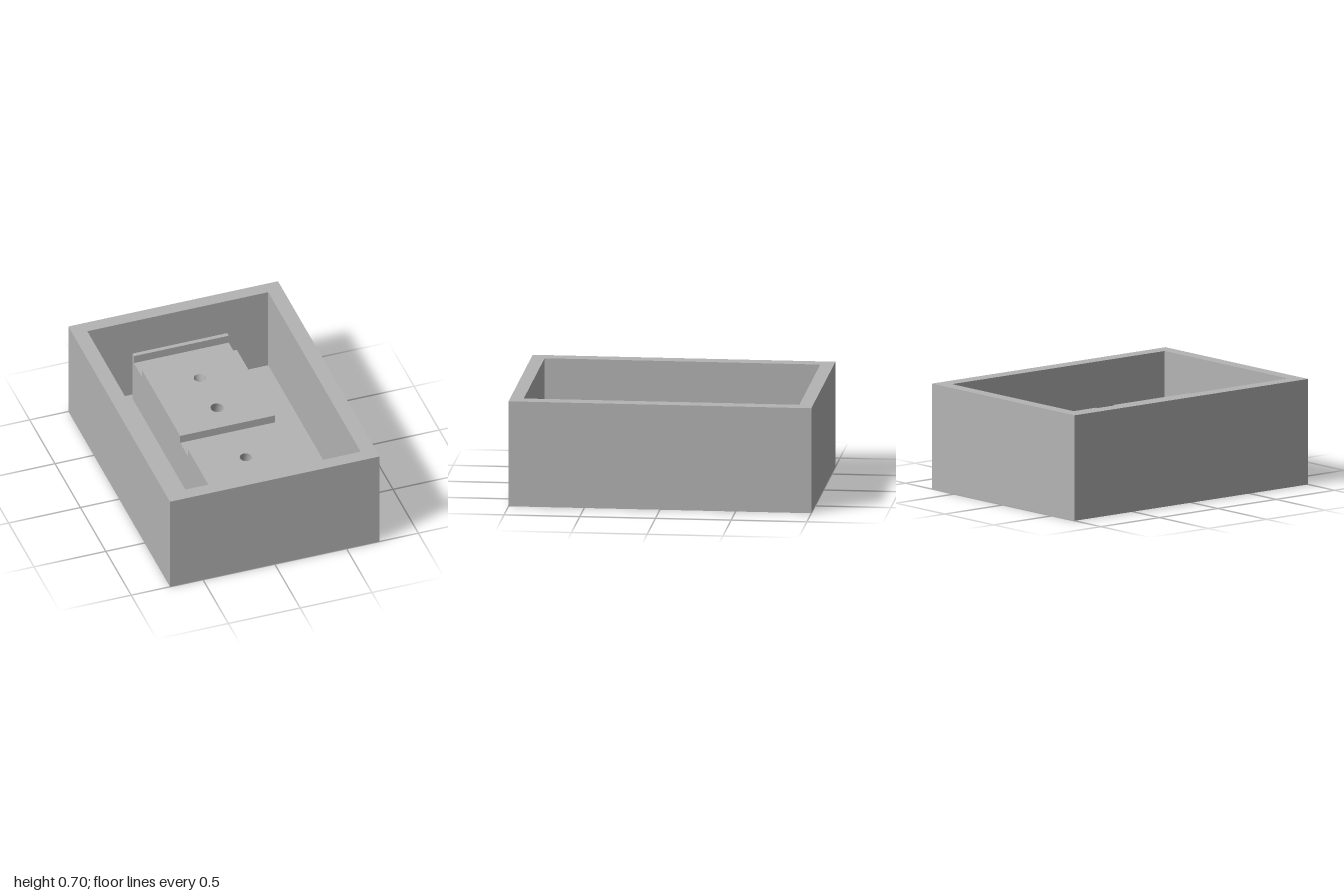
import * as THREE from 'three';
import { mergeVertices } from 'three/addons/utils/BufferGeometryUtils.js';

const grey = new THREE.MeshStandardMaterial({ color: 0xb4b4b4, side: THREE.DoubleSide });
grey.name = 'plain grey';

// Outlines in plan, as [x, z] pairs
const rect = (hx, z0, z1) => [[-hx, z1], [hx, z1], [hx, z0], [-hx, z0]];
const ellipse = (z, rx, rz, n = 32) => Array.from({ length: n }, (_, i) => {
  const t = (i / n) * Math.PI * 2;
  return [rx * Math.cos(t), z - rz * Math.sin(t)];
});

// Horizontal face at height y, facing up or down, with holes
function sheet(outline, y, holes = [], up = true) {
  const s = up ? -1 : 1;
  const pts = (o) => o.map(([x, z]) => new THREE.Vector2(x, s * z));
  const shape = new THREE.Shape(pts(outline));
  holes.forEach((h) => shape.holes.push(new THREE.Path(pts(h))));
  return new THREE.ShapeGeometry(shape).rotateX(s * Math.PI / 2).translate(0, y, 0);
}

// Wall joining outlines stacked at rising heights; inward turns it to face the middle
function wall(levels, inward = false, smooth = false) {
  const pos = [];
  for (let k = 0; k + 1 < levels.length; k++) {
    const [y0, lo] = levels[k], [y1, hi] = levels[k + 1];
    for (let i = 0; i < lo.length; i++) {
      const j = (i + 1) % lo.length;
      const a = [lo[i][0], y0, lo[i][1]], b = [lo[j][0], y0, lo[j][1]];
      const c = [hi[j][0], y1, hi[j][1]], d = [hi[i][0], y1, hi[i][1]];
      const quad = inward ? [a, c, b, a, d, c] : [a, b, c, a, c, d];
      quad.forEach((p) => pos.push(...p));
    }
  }
  let g = new THREE.BufferGeometry();
  g.setAttribute('position', new THREE.Float32BufferAttribute(pos, 3));
  if (smooth) g = mergeVertices(g);
  g.computeVertexNormals();
  return g;
}

export function createModel() {
  const model = new THREE.Group();
  model.name = 'openBox';
  const add = (name, geometry) => {
    const m = new THREE.Mesh(geometry, grey);
    m.name = name;
    model.add(m);
  };

  const H = 0.705, FLOOR = 0.1, STEP = 0.415, TOP = 0.472, CEIL = 0.13, DEEP = 0.2;
  const outer = rect(0.73, -1, 1), inner = rect(0.63, -0.91, 0.91);
  const block = rect(0.33, -0.87, 0.865);

  // Each bay: pocket underneath, recess in its ceiling, raised plate, two slanted holes
  const bays = [
    { pocket: [-0.605, -0.045], recess: [-0.3, -0.19], plate: [-0.68, 0.07],
      holes: [{ top: -0.475, low: -0.365, y: CEIL, rx: 0.04, rz: 0.042 },
        { top: -0.135, low: -0.245, y: DEEP, rx: 0.043, rz: 0.047 }] },
    { pocket: [0.01, 0.56], recess: [0.41, 0.52], plate: [0.22, 0.865],
      holes: [{ top: 0.43, low: 0.315, y: CEIL, rx: 0.04, rz: 0.042 },
        { top: 0.75, low: 0.465, y: DEEP, rx: 0.043, rz: 0.065 }] },
  ];

  // Box shell
  add('outerWalls', wall([[0, outer], [H, outer]]));
  add('innerWalls', wall([[FLOOR, inner], [H, inner]], true));
  add('rim', sheet(outer, H, [inner]));
  add('floor', sheet(inner, FLOOR, [block]));
  add('underside', sheet(outer, 0, bays.map((b) => rect(0.19, ...b.pocket)), false));

  // Central block with grooves and a rear ridge
  add('blockSides', wall([[FLOOR, block], [STEP, block]]));
  [[-0.84, -0.68], [0.07, 0.22]].forEach((g) => add('groove', sheet(rect(0.33, ...g), STEP)));
  const ridge = rect(0.33, -0.87, -0.84);
  add('ridgeSides', wall([[STEP, ridge], [TOP, ridge]]));
  add('ridgeTop', sheet(ridge, TOP));

  for (const { pocket, recess, plate, holes } of bays) {
    const plan = rect(0.33, ...plate);
    add('plateSides', wall([[STEP, plan], [TOP, plan]]));
    add('plateTop', sheet(plan, TOP, holes.map((h) => ellipse(h.top, h.rx, h.rz))));

    // Slanted holes
    for (const h of holes) {
      add('slantedHole', wall([[h.y, ellipse(h.low, h.rx, h.rz)],
        [TOP, ellipse(h.top, h.rx, h.rz)]], true, true));
    }

    // Pocket with sloping sides, and the recess above it
    const [ceilHole, deepHole] = holes.map((h) => ellipse(h.low, h.rx, h.rz));
    const mouth = rect(0.19, ...pocket), ceiling = rect(0.08, ...pocket);
    const well = rect(0.055, ...recess);
    add('pocketSides', wall([[0, mouth], [0.03, mouth], [CEIL, ceiling]], true));
    add('pocketCeiling', sheet(ceiling, CEIL, [well, ceilHole], false));
    add('recessSides', wall([[CEIL, well], [DEEP, well]], true));
    add('recessCeiling', sheet(well, DEEP, [deepHole], false));
  }
  return model;
}
